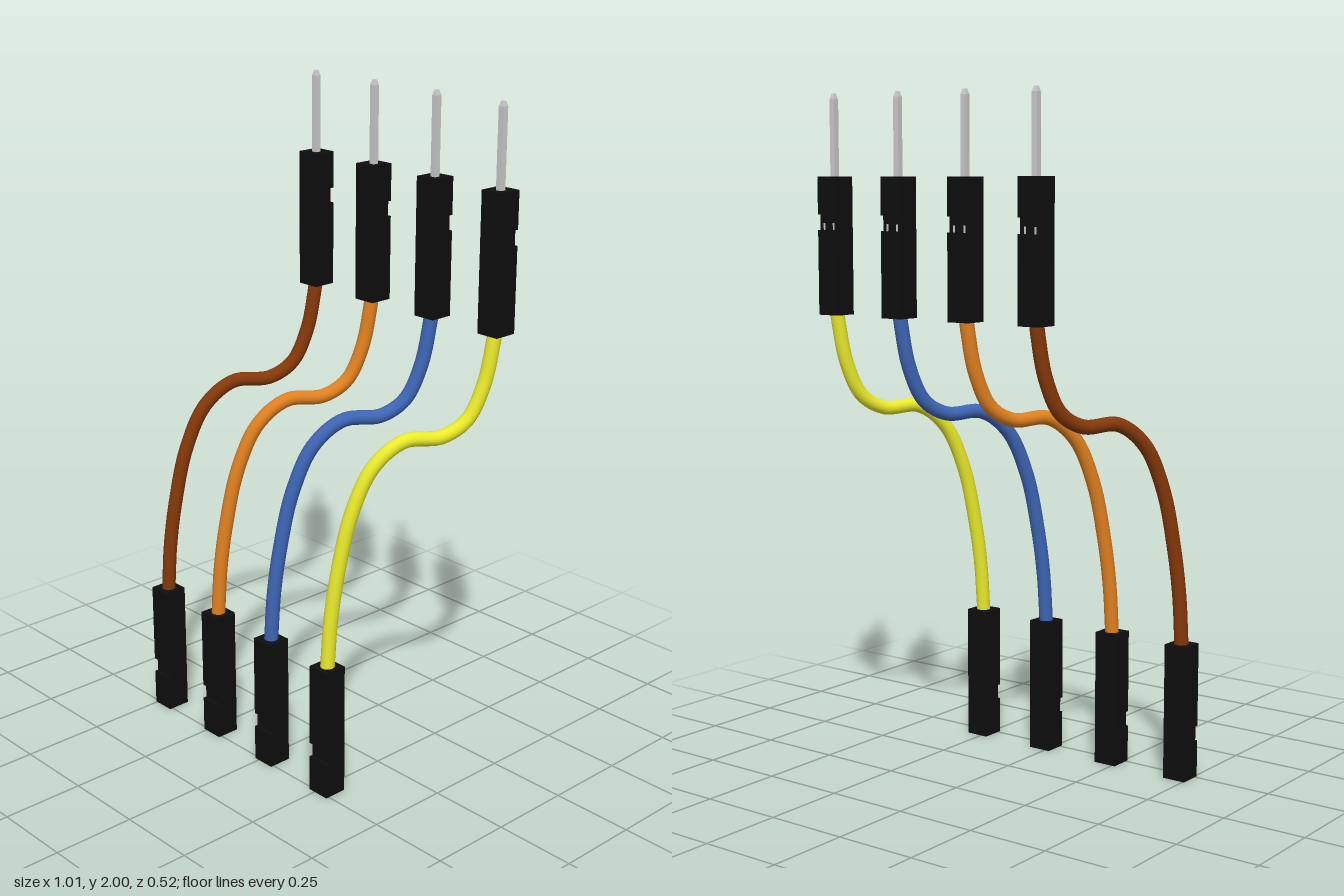
import * as THREE from 'three';

const W = 0.036;      // housing half width
const LEN = 0.405;    // housing length
const SKIN = 0.011;   // depth of the latch notch
const black = new THREE.MeshStandardMaterial({ color: 0x0e0e0e });
const metal = new THREE.MeshStandardMaterial({ color: 0xcccccc });

function add(parent, geometry, material, name, x = 0, y = 0, z = 0) {
  const mesh = new THREE.Mesh(geometry, material);
  mesh.name = name;
  mesh.position.set(x, y, z);
  parent.add(mesh);
  return mesh;
}

function polygon(points) {
  return new THREE.Shape(points.map(([x, y]) => new THREE.Vector2(x, y)));
}

// Square connector shell: wire end at y = 0, mating end at y = LEN, latch on -z
function makeHousing(name) {
  const housing = new THREE.Group();
  housing.name = name;

  // Hollow core
  const back = W - SKIN;
  const section = polygon([[-W, -W], [W, -W], [W, back], [-W, back]]);
  const h = 0.014;
  section.holes.push(polygon([[-h, -h], [-h, h], [h, h], [h, -h]]));
  const core = new THREE.ExtrudeGeometry(section, { depth: LEN, bevelEnabled: false });
  core.rotateX(-Math.PI / 2);
  add(housing, core, black, 'housingCore');

  // Lower latch wall: a tongue between two narrow slots
  const top = 0.25, foot = 0.165, a = 0.016, b = 0.02;
  const wall = polygon([
    [-W, 0], [W, 0], [W, top], [b, top], [b, foot], [a, foot], [a, top],
    [-a, top], [-a, foot], [-b, foot], [-b, top], [-W, top],
  ]);
  const latch = new THREE.ExtrudeGeometry(wall, { depth: SKIN, bevelEnabled: false });
  add(housing, latch, black, 'latchWall', 0, 0, -W);

  // Upper wall beyond the notch
  const upper = LEN - 0.295;
  add(housing, new THREE.BoxGeometry(2 * W, upper, SKIN), black, 'endWall',
    0, LEN - upper / 2, -W + SKIN / 2);
  return housing;
}

// Square pin with a tapered tip, plus the contact edges seen in the latch slots
function addPin(housing) {
  const r = 0.009 * Math.SQRT2;
  const tip = 0.015, total = 2 - 1.355, start = 0.02;
  const shaft = new THREE.BoxGeometry(0.018, total - tip - start, 0.018);
  add(housing, shaft, metal, 'pinShaft', 0, (start + total - tip) / 2, 0);
  const taper = new THREE.CylinderGeometry(r * 0.5, r, tip, 4).toNonIndexed();
  taper.rotateY(Math.PI / 4);
  taper.computeVertexNormals();
  add(housing, taper, metal, 'pinTip', 0, total - tip / 2, 0);
  for (const s of [-1, 1]) {
    add(housing, new THREE.BoxGeometry(0.004, 0.105, 0.006), metal, 'contactEdge',
      s * 0.018, 0.2175, -W + SKIN - 0.001);
  }
}

// Wire profile: [z, y], the x offset follows z
const profile = [
  [0.224, 0.38], [0.221, 0.44], [0.214, 0.55], [0.196, 0.69], [0.16, 0.865],
  [0.102, 1.0], [0.02, 1.067], [-0.085, 1.068], [-0.152, 1.11],
  [-0.196, 1.21], [-0.218, 1.33], [-0.224, 1.38],
];

export function createModel() {
  const model = new THREE.Group();
  model.name = 'jumperWires';
  const colors = [['brown', 0x853809], ['orange', 0xe08020], ['blue', 0x3d64b4], ['yellow', 0xeaea2c]];

  colors.forEach(([label, color], i) => {
    const jumper = new THREE.Group();
    jumper.name = label + 'Jumper';
    jumper.position.x = (i - 1.5) * 0.2445;
    model.add(jumper);

    // Insulated wire
    const curve = new THREE.CatmullRomCurve3(
      profile.map(([z, y]) => new THREE.Vector3(-z * 0.456, y, z)));
    add(jumper, new THREE.TubeGeometry(curve, 80, 0.021, 16),
      new THREE.MeshStandardMaterial({ color }), 'wire');

    // Pin connector on top
    const male = makeHousing('pinConnector');
    male.position.set(0.102, 1.355, -0.224);
    addPin(male);
    jumper.add(male);

    // Socket connector below, turned upside down
    const female = makeHousing('socketConnector');
    female.position.set(-0.102, LEN, 0.224);
    female.rotation.x = Math.PI;
    jumper.add(female);
    add(female, new THREE.BoxGeometry(0.029, 0.1, 0.029), black, 'socketFloor', 0, 0.07, 0);
  });
  return model;
}
